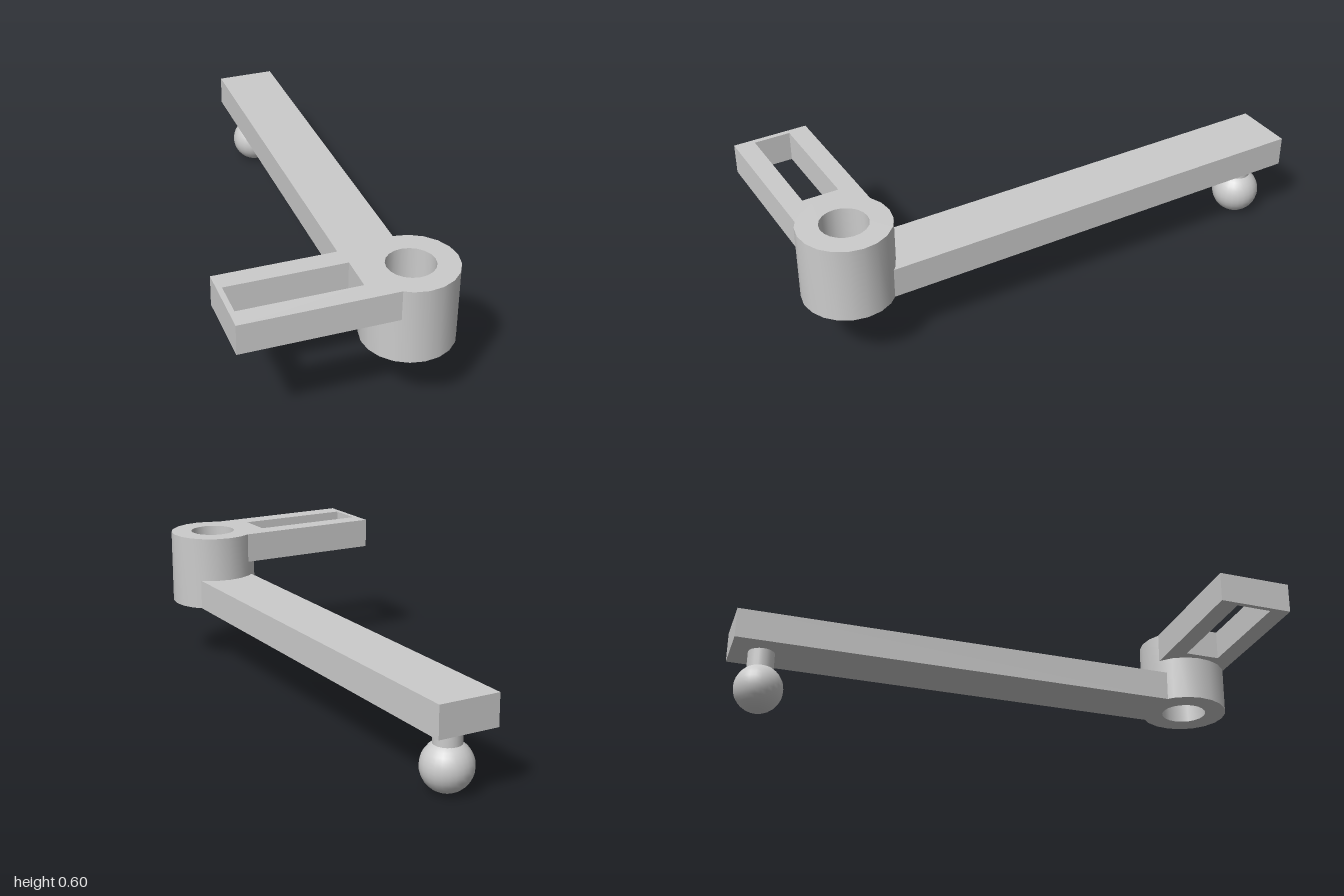
import * as THREE from 'three';
import { toCreasedNormals } from 'three/addons/utils/BufferGeometryUtils.js';

const HUB_R = 0.193, BORE_R = 0.1;
const BASE_Y = 0.268, TOP_Y = 0.597;

export function createModel() {
  const group = new THREE.Group();
  const metal = new THREE.MeshStandardMaterial({ color: 0xcccccc });
  metal.name = 'plain grey';

  function add(name, geometry, parent) {
    const mesh = new THREE.Mesh(geometry, metal);
    mesh.name = name;
    parent.add(mesh);
    return mesh;
  }

  // Upright plate standing between two heights; full circles get 20 sides
  function plate(shape, y0, y1) {
    const g = new THREE.ExtrudeGeometry(shape, { depth: y1 - y0, bevelEnabled: false, curveSegments: 10 });
    g.rotateX(-Math.PI / 2).translate(0, y0, 0);
    return toCreasedNormals(g, 0.6);
  }

  // Arm outline along +x, its inner end curved to meet the hub wall
  function armShape(length, halfWidth) {
    const r = HUB_R - 0.005;
    const a = Math.asin(halfWidth / r);
    const s = new THREE.Shape();
    s.absarc(0, 0, r, -a, a, false);
    s.lineTo(length, halfWidth);
    s.lineTo(length, -halfWidth);
    s.closePath();
    return s;
  }

  // Everything hangs from the hub axis
  const lever = new THREE.Group();
  lever.name = 'lever';
  lever.position.set(0.807, 0, 0.284);
  group.add(lever);

  // Hub with a bore right through it
  const ring = new THREE.Shape().absarc(0, 0, HUB_R, 0, Math.PI * 2, false);
  ring.holes.push(new THREE.Path().absarc(0, 0, BORE_R, 0, Math.PI * 2, true));
  add('hub', plate(ring, BASE_Y, TOP_Y), lever);

  // Long lower arm
  const longArm = new THREE.Group();
  longArm.name = 'longArm';
  longArm.rotation.y = Math.atan2(0.56, -0.829);
  lever.add(longArm);
  add('longBar', plate(armShape(2.091, 0.13), BASE_Y, 0.4), longArm);

  // Ball on a short neck under the arm's far end
  const neck = new THREE.CylinderGeometry(0.057, 0.057, 0.12, 20);
  add('ballNeck', neck, longArm).position.set(1.96, 0.225, 0);
  add('ball', new THREE.SphereGeometry(0.104, 24, 16), longArm).position.set(1.96, 0.104, 0);

  // Short upper arm with a long slot cut through it
  const slotted = armShape(0.746, 0.162);
  const [x0, x1, w] = [0.222, 0.724, 0.078];
  slotted.holes.push(new THREE.Path([[x0, -w], [x1, -w], [x1, w], [x0, w]].map(p => new THREE.Vector2(...p))));
  add('slottedArm', plate(slotted, 0.466, TOP_Y), lever).rotation.y = Math.atan2(-0.829, -0.56);

  return group;
}
